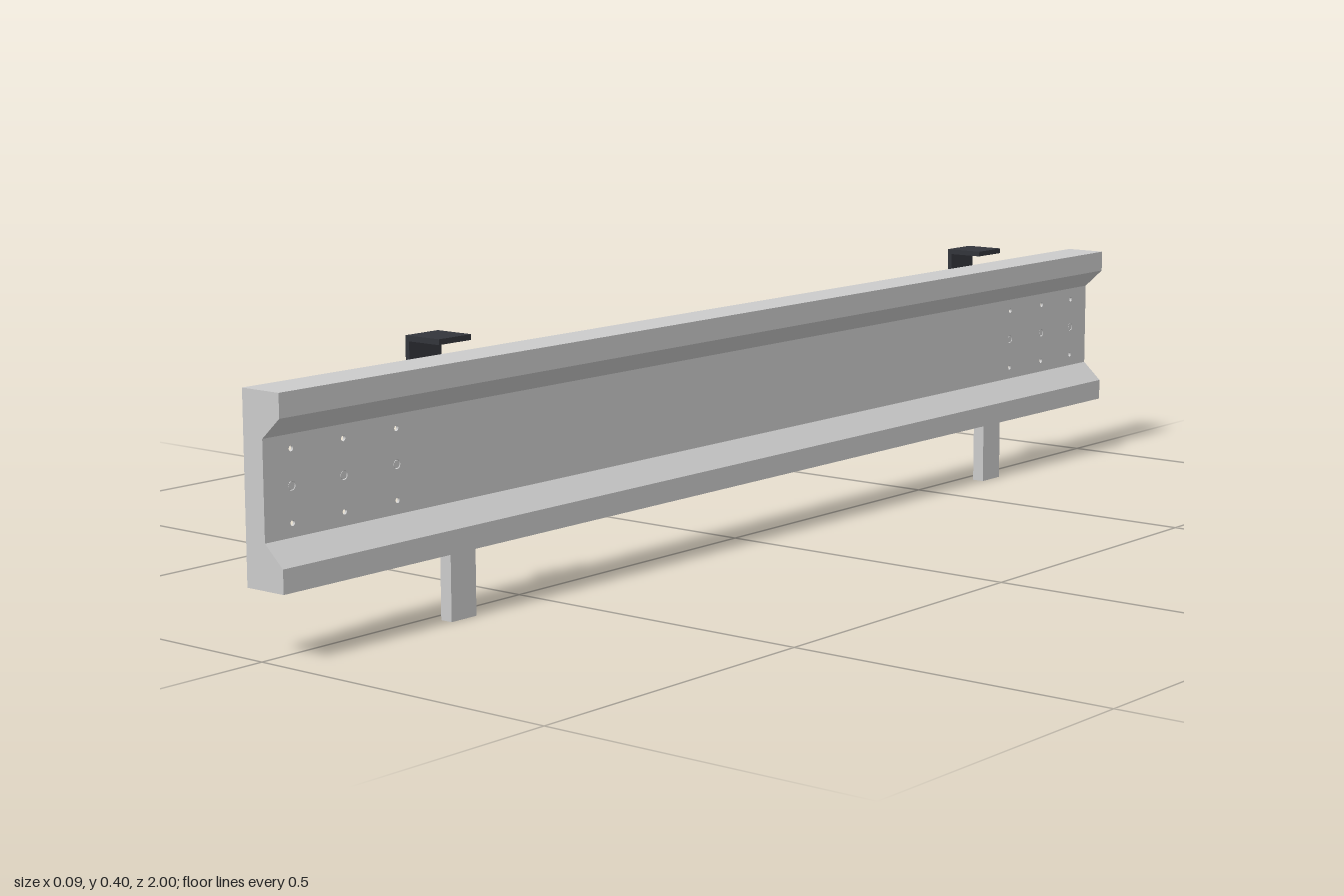
import * as THREE from 'three';

const GREY = new THREE.MeshStandardMaterial({ color: 0xcccccc });
const DARK = new THREE.MeshStandardMaterial({ color: 0x33353b });
const MID = 0.2305; // height of the beam's centre line
const T = 0.004; // sheet thickness

function add(parent, name, geometry, material = GREY) {
  const mesh = new THREE.Mesh(geometry, material);
  mesh.name = name;
  parent.add(mesh);
  return mesh;
}

function box(parent, name, x0, x1, y0, y1, z0, z1, material) {
  const g = new THREE.BoxGeometry(x1 - x0, y1 - y0, z1 - z0);
  g.translate((x0 + x1) / 2, (y0 + y1) / 2, (z0 + z1) / 2);
  return add(parent, name, g, material);
}

// Cross-section (x, y) extruded along z
function alongZ(points, z0, z1) {
  const shape = new THREE.Shape(points.map(([x, y]) => new THREE.Vector2(x, y)));
  return new THREE.ExtrudeGeometry(shape, { depth: z1 - z0, bevelEnabled: false }).translate(0, 0, z0);
}

// Upright sheet in the z-y plane; its outer +x face lies at x
function sheet(x, y0, y1, holes) {
  const shape = new THREE.Shape();
  shape.moveTo(-1 + T, y0).lineTo(1 - T, y0).lineTo(1 - T, y1).lineTo(-1 + T, y1).closePath();
  shape.holes = holes;
  const g = new THREE.ExtrudeGeometry(shape, { depth: T, bevelEnabled: false, curveSegments: 8 });
  return g.rotateY(-Math.PI / 2).translate(x, 0, 0);
}

function roundHole(z, y, r) {
  const p = new THREE.Path();
  p.absarc(z, y, r, 0, Math.PI * 2, true);
  return p;
}

function slot(z, y, length, r) {
  const p = new THREE.Path(), h = length / 2 - r;
  p.absarc(z - h, y, r, Math.PI * 1.5, Math.PI * 0.5, true);
  p.absarc(z + h, y, r, Math.PI * 0.5, -Math.PI * 0.5, true);
  p.closePath();
  return p;
}

// Washer, hexagon nut and shank pointing towards -x from the given point
function bolt(parent, x, y, z, size, reach) {
  const group = new THREE.Group();
  group.name = 'bolt';
  const parts = [
    ['washer', size * 1.4, 0, 0.003, 20],
    ['nut', size, 0.003, reach * 0.7, 6],
    ['shank', size * 0.55, -T * 0.9, reach, 14],
  ];
  for (const [name, r, from, to, sides] of parts) {
    const g = new THREE.CylinderGeometry(r, r, to - from, sides);
    g.rotateZ(Math.PI / 2).translate(-(from + to) / 2, 0, 0);
    add(group, name, sides === 6 ? g.toNonIndexed() : g);
  }
  group.children[1].geometry.computeVertexNormals();
  group.position.set(x, y, z);
  parent.add(group);
}

export function createModel() {
  const model = new THREE.Group();
  model.name = 'beam';

  // Flared flanges, mirrored about the centre line
  const flange = [
    [-0.024, 0.364], [0.045, 0.364], [0.045, 0.33], [0.012, 0.3], [0.012, 0.297],
    [0.008, 0.297], [0.008, 0.302], [0.041, 0.332], [0.041, 0.36], [-0.024, 0.36],
  ];
  for (const s of [1, -1]) {
    const points = flange.map(([x, y]) => [x, MID + s * (y - MID)]);
    add(model, s > 0 ? 'topFlange' : 'bottomFlange', alongZ(points, -1 + T, 1 - T));

    // Slotted lip along the open back
    const slots = [-0.72, -0.32, 0.32, 0.72].map((z) => slot(z, MID + s * 0.12, 0.22, 0.004));
    const ys = [MID + s * 0.1295, MID + s * 0.102].sort((a, b) => a - b);
    add(model, s > 0 ? 'topLip' : 'bottomLip', sheet(-0.02, ys[0], ys[1], slots));
  }

  // Web with bolt holes at both ends
  const holes = [];
  for (const s of [1, -1]) {
    for (const z of [0.95, 0.855, 0.755]) {
      holes.push(roundHole(s * z, MID, 0.0065));
      for (const dy of [-0.05, 0.05]) holes.push(roundHole(s * z, MID + dy, 0.004));
      bolt(model, 0.008, MID, s * z, 0.01, 0.014);
    }
  }
  add(model, 'web', sheet(0.012, 0.164, 0.297, holes));

  // Closing plates with the full beam outline
  const outline = [
    [-0.024, 0.097], [0.045, 0.097], [0.045, 0.131], [0.012, 0.161],
    [0.012, 0.3], [0.045, 0.33], [0.045, 0.364], [-0.024, 0.364],
  ];
  add(model, 'frontEndPlate', alongZ(outline, 1 - T, 1));
  add(model, 'backEndPlate', alongZ(outline, -1, -1 + T));

  // Legs and angle brackets near both ends
  for (const s of [1, -1]) {
    const z = s * 0.658;
    box(model, 'leg', 0.021, 0.041, 0, 0.098, z - 0.025, z + 0.025);
    const bracket = new THREE.Group();
    bracket.name = 'bracket';
    model.add(bracket);
    box(bracket, 'bracketTop', -0.032, 0.032, 0.389, 0.397, z - 0.032, z + 0.032, DARK);
    box(bracket, 'bracketSide', -0.032, -0.025, 0.321, 0.389, z - 0.032, z + 0.032, DARK);
    for (const dz of [-0.016, 0.016]) bolt(bracket, -0.032, 0.3505, z + dz, 0.008, 0.015);
  }
  return model;
}
